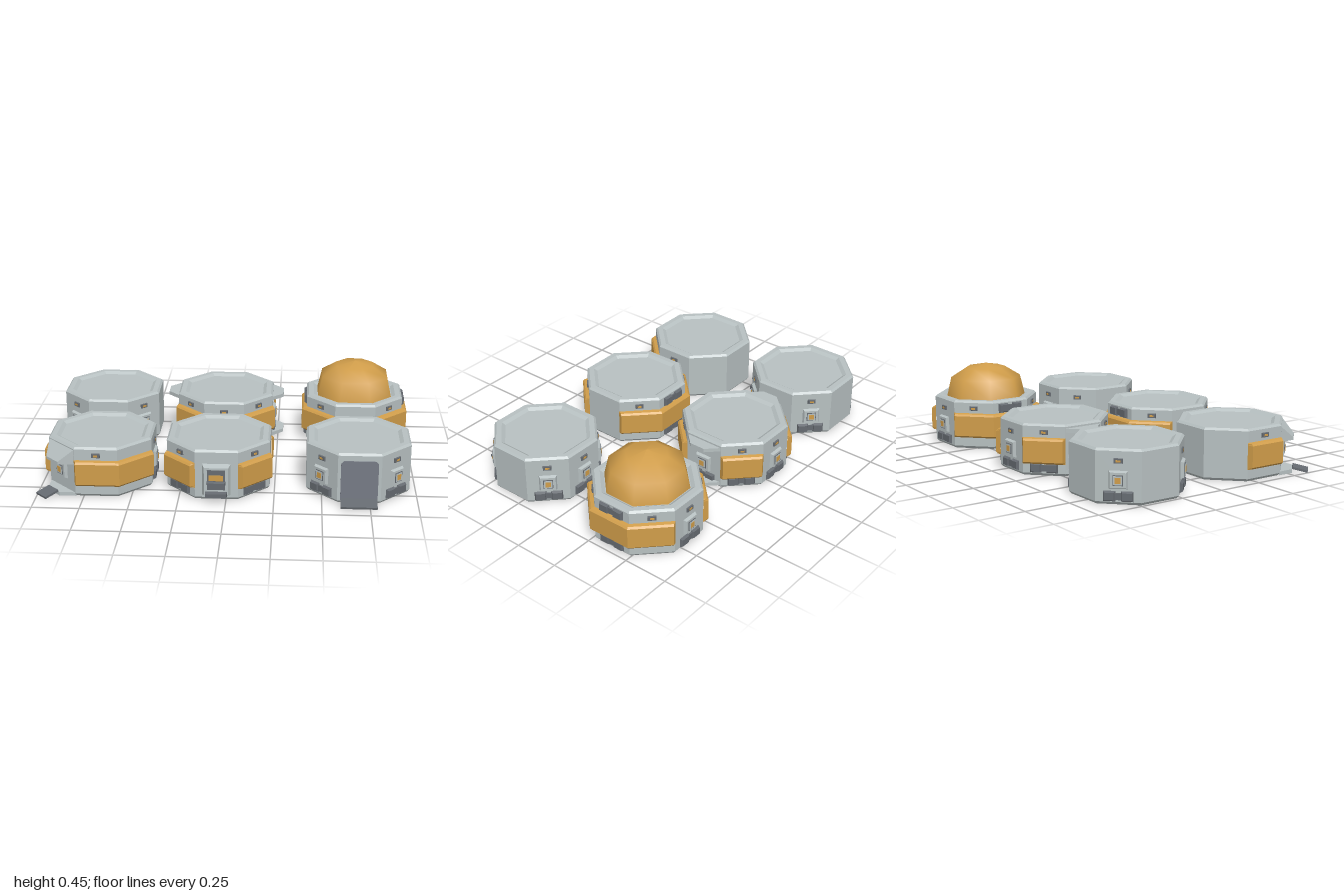
import * as THREE from 'three';
import { ConvexGeometry } from 'three/addons/geometries/ConvexGeometry.js';

const AP = 0.274;                       // distance from module centre to a wall
const STEP = Math.PI / 4;
const HALF = AP * Math.tan(STEP / 2);   // half the width of one wall
const COS = Math.cos(STEP / 2);

function material(name, color) {
  const m = new THREE.MeshStandardMaterial({ color });
  m.name = name;
  return m;
}
const hull = material('hull grey', 0xb7c0c1);
const dark = material('fitting grey', 0x666b71);
const doorMat = material('door grey', 0x767a85);
const amber = material('amber', 0xd09d4a);

function add(parent, name, geometry, mat, x = 0, y = 0, z = 0) {
  const mesh = new THREE.Mesh(geometry, mat);
  mesh.name = name;
  mesh.position.set(x, y, z);
  parent.add(mesh);
  return mesh;
}

function flat(geometry) {
  const g = geometry.index ? geometry.toNonIndexed() : geometry;
  g.computeVertexNormals();
  return g;
}

// Octagonal turned shape; profile holds [wall distance, height]
function octagon(profile) {
  const pts = profile.map(([r, y]) => new THREE.Vector2(r / COS, y));
  return new THREE.LatheGeometry(pts, 8, STEP / 2);
}

// Plate standing on a wall, with its outer face drawn in by a bevel
function plate(w, h, d, bevel = 0) {
  const g = new THREE.BoxGeometry(w, h, d);
  g.translate(0, 0, d / 2);
  const p = g.attributes.position;
  for (let i = 0; i < p.count; i++) {
    if (p.getZ(i) < d / 2) continue;
    p.setX(i, p.getX(i) - Math.sign(p.getX(i)) * bevel);
    p.setY(i, p.getY(i) - Math.sign(p.getY(i)) * bevel);
  }
  return flat(g);
}

// Block on a wall that narrows outward; its top may slope down
function wedge(y0, yInner, yOuter, out, outerHalf) {
  const pts = [];
  for (const s of [-1, 1]) {
    pts.push(new THREE.Vector3(s * HALF, y0, -0.005), new THREE.Vector3(s * HALF, yInner, -0.005));
    pts.push(new THREE.Vector3(s * outerHalf, y0, out), new THREE.Vector3(s * outerHalf, yOuter, out));
  }
  return new ConvexGeometry(pts);
}

// Amber window band wrapped round walls first..last
function belt(first, last) {
  const section = [[0, 0.064], [0.019, 0.068], [0.028, 0.078], [0.028, 0.192], [0.019, 0.202], [0, 0.206]];
  const onWall = (k, x, s) => section.map(([d, y]) => {
    const a = k * STEP, r = AP + d * s;
    return [Math.sin(a) * r + Math.cos(a) * x, y, Math.cos(a) * r - Math.sin(a) * x];
  });
  const corner = k => section.map(([d, y]) => {
    const a = (k + 0.5) * STEP, r = (AP + d) / COS;
    return [Math.sin(a) * r, y, Math.cos(a) * r];
  });
  const rings = [onWall(first, -HALF - 0.002, 0), onWall(first, -HALF + 0.008, 1)];
  for (let k = first; k < last; k++) rings.push(corner(k));
  rings.push(onWall(last, HALF - 0.008, 1), onWall(last, HALF + 0.002, 0));
  const n = section.length, index = [];
  for (let i = 0; i < rings.length - 1; i++) {
    for (let j = 0; j < n - 1; j++) {
      const a = i * n + j, b = a + n;
      index.push(a, b, b + 1, a, b + 1, a + 1);
    }
  }
  const g = new THREE.BufferGeometry();
  g.setAttribute('position', new THREE.Float32BufferAttribute(rings.flat(2), 3));
  g.setIndex(index);
  return flat(g);
}

// Fittings, each placed on a wall group whose +z points outward
function lamp(w, y) {
  add(w, 'lampHousing', plate(0.046, 0.026, 0.008, 0.002), dark, 0, y);
  add(w, 'lampLight', plate(0.022, 0.01, 0.002), amber, 0, y, 0.008);
}
function vents(w, y = 0.043) {
  for (const s of [-1, 1]) add(w, 'vent', plate(0.062, 0.052, 0.015, 0.007), dark, s * 0.044, y);
  add(w, 'ventBridge', plate(0.04, 0.034, 0.009), dark, 0, y);
}
function hatch(w) {
  add(w, 'hatchPlate', plate(0.094, 0.09, 0.016, 0.007), hull, 0, 0.125);
  add(w, 'hatchFrame', plate(0.052, 0.052, 0.003), dark, 0, 0.125, 0.016);
  add(w, 'hatchRing', plate(0.044, 0.044, 0.002), hull, 0, 0.125, 0.019);
  add(w, 'hatchWindow', plate(0.028, 0.03, 0.002), amber, 0, 0.125, 0.021);
}
function station(w) {
  hatch(w);
  lamp(w, 0.218);
  vents(w);
}
function bay(w) {
  add(w, 'bayFrame', plate(0.15, 0.176, 0.03, 0.012), hull, 0, 0.115);
  add(w, 'bayRecess', plate(0.094, 0.11, 0.004), dark, 0, 0.125, 0.03);
  add(w, 'bayWindow', plate(0.074, 0.03, 0.004), amber, 0, 0.137, 0.034);
  add(w, 'baySill', plate(0.1, 0.02, 0.02, 0.005), dark, 0, 0.108, 0.03);
  add(w, 'bayStep', plate(0.12, 0.034, 0.058, 0.006), dark, 0, 0.045);
}
function ramp(w, width, z) {
  add(w, 'ramp', new THREE.BoxGeometry(width, 0.012, 0.084), dark, 0, 0.0165, z).rotation.x = 0.22;
}
function door(w) {
  const s = new THREE.Shape([[-0.097, 0.018], [0.097, 0.018], [0.097, 0.222], [0.083, 0.237],
    [-0.083, 0.237], [-0.097, 0.222]].map(([x, y]) => new THREE.Vector2(x, y)));
  add(w, 'door', new THREE.ExtrudeGeometry(s, { depth: 0.005, bevelEnabled: false }), doorMat);
  ramp(w, 0.19, 0.038);
}
function canopy(w) {
  add(w, 'canopyRoof', wedge(0.236, 0.257, 0.257, 0.062, 0.045), hull);
  add(w, 'canopyFloor', wedge(0.016, 0.036, 0.036, 0.062, 0.045), hull);
  station(w);
}
function porch(w) {
  add(w, 'porchHood', wedge(0.18, 0.266, 0.194, 0.063, 0.052), hull);
  add(w, 'porchFloor', wedge(0, 0.02, 0.02, 0.06, 0.05), hull);
  hatch(w);
  ramp(w, 0.085, 0.102);
}
function ventPair(w) {
  vents(w);
  vents(w, 0.234);
}
function beltLamp(w) {
  lamp(w, 0.234);
}
function lampVents(w) {
  beltLamp(w);
  vents(w);
}

// Walls count from the front (0) by 45 degrees towards +x
const modules = [
  { name: 'storageModule', x: -0.72, z: -0.383, belts: [],
    walls: { 0: bay, 1: station, 3: station, 5: station, 7: station } },
  { name: 'junctionModule', x: -0.055, z: -0.383, belts: [[1, 1], [3, 3], [5, 5], [7, 7]],
    walls: { 0: station, 4: station, 2: canopy, 6: canopy, 1: lampVents, 3: lampVents, 5: lampVents, 7: lampVents } },
  { name: 'domeModule', x: 0.692, z: -0.383, belts: [[1, 3], [5, 7]], dome: true,
    walls: { 0: bay, 4: station, 2: ventPair, 6: ventPair, 1: beltLamp, 3: beltLamp, 5: beltLamp, 7: beltLamp } },
  { name: 'entryModule', x: -0.68, z: 0.326, belts: [[0, 1], [6, 6]],
    walls: { 0: beltLamp, 2: station, 6: beltLamp, 7: porch } },
  { name: 'livingModule', x: -0.05, z: 0.326, belts: [[3, 5], [1, 1], [7, 7]],
    walls: { 0: bay, 1: lampVents, 7: lampVents, 3: beltLamp, 4: ventPair, 5: beltLamp } },
  { name: 'garageModule', x: 0.692, z: 0.328, belts: [],
    walls: { 0: door, 1: station, 3: station, 4: station, 5: station, 7: station } },
];

export function createModel() {
  const model = new THREE.Group();
  model.name = 'modularBase';
  // Hull with bevelled foot, bevelled rim and sunken roof
  const hullGeo = flat(octagon([[0, 0], [0.263, 0], [AP, 0.014], [AP, 0.266], [0.263, 0.277],
    [0.235, 0.277], [0.216, 0.264], [0, 0.264]]));

  for (const m of modules) {
    const g = new THREE.Group();
    g.name = m.name;
    g.position.set(m.x, 0, m.z);
    model.add(g);
    add(g, 'hull', hullGeo, hull);
    for (const [first, last] of m.belts) add(g, 'windowBelt', belt(first, last), amber);
    for (const [k, fit] of Object.entries(m.walls)) {
      const w = new THREE.Group();
      w.name = 'wall' + k;
      w.rotation.y = k * STEP;
      w.position.set(Math.sin(k * STEP) * AP, 0, Math.cos(k * STEP) * AP);
      g.add(w);
      fit(w);
    }
    // Smooth-shaded glass dome
    if (m.dome) add(g, 'dome', octagon([[0.212, 0.262], [0.187, 0.376], [0.104, 0.432], [0, 0.454]]), amber);
  }
  return model;
}
